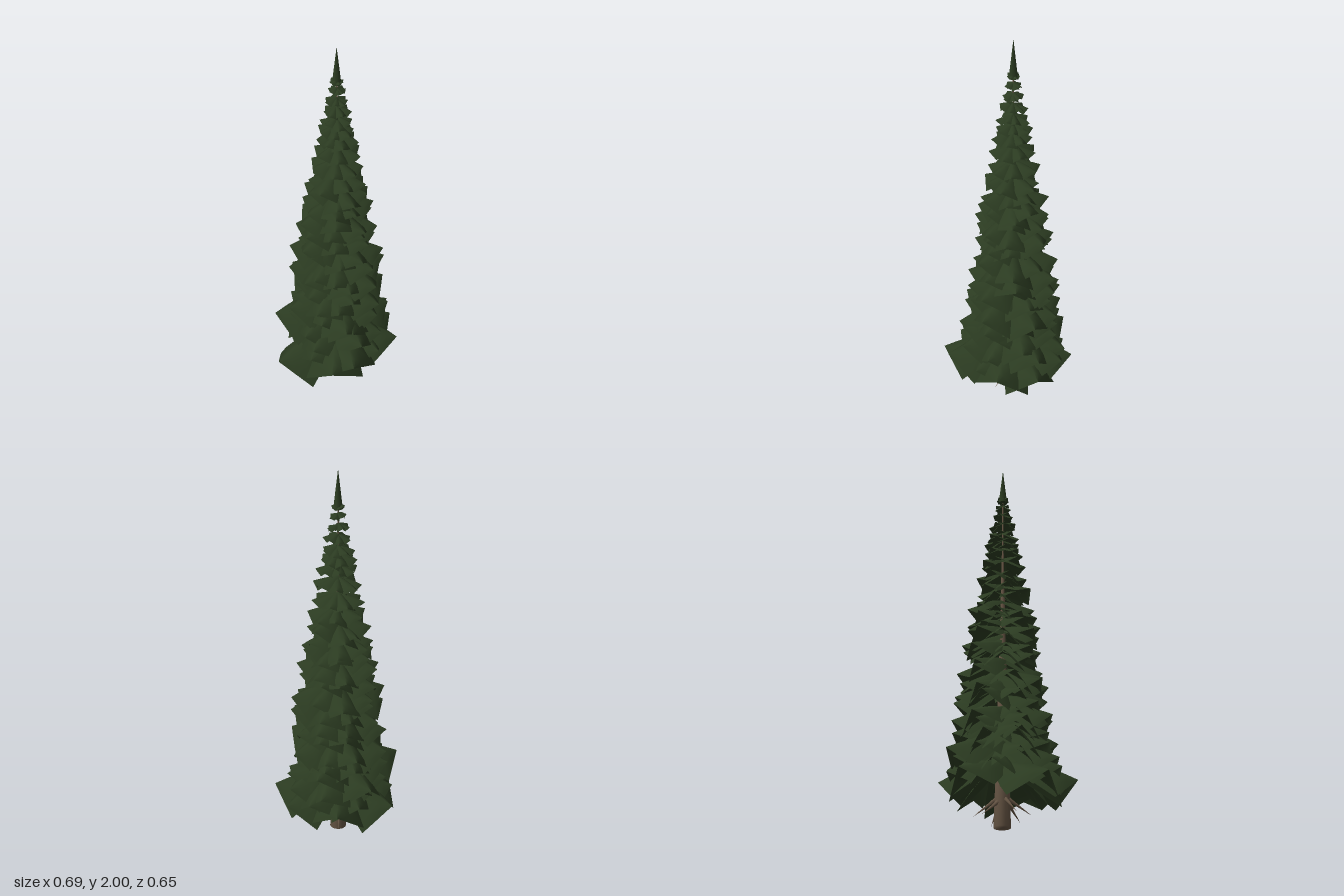
import * as THREE from 'three';
import { mergeGeometries } from 'three/addons/utils/BufferGeometryUtils.js';

// Tree axis sits slightly off the centre of the crown
const AXIS_X = 0.02, AXIS_Z = -0.033;

// Frond length by attachment height: [y, length]
const PROFILE = [[0.35, 0.305], [0.45, 0.29], [0.58, 0.265], [0.75, 0.245], [0.9, 0.23], [1.05, 0.208],
  [1.18, 0.18], [1.29, 0.155], [1.37, 0.135], [1.46, 0.12], [1.53, 0.103], [1.62, 0.083], [1.73, 0.058],
  [1.83, 0.035]];

// Lowest fronds: [tip dx, tip dz, attachment y, roll]
const SKIRT = [[-0.365, 0.083, 0.335, 0], [0.325, -0.017, 0.36, 0], [-0.04, 0.35, 0.4, 0.05],
  [0.275, 0.193, 0.38, -0.1], [-0.155, 0.333, 0.38, 0.1], [-0.155, -0.287, 0.35, 0.1],
  [0.17, -0.27, 0.37, -0.1], [0.04, -0.275, 0.37, 0.1], [0.275, -0.167, 0.42, 0.1],
  [-0.325, -0.067, 0.53, -0.1], [0.14, 0.258, 0.36, 0.1], [-0.23, 0.215, 0.39, 0.1],
  [-0.24, -0.155, 0.37, 0.1]];

function seeded(seed) {
  return () => (seed = (seed * 16807) % 2147483647) / 2147483647;
}

function lengthAt(y) {
  let i = 0;
  while (i < PROFILE.length - 2 && y > PROFILE[i + 1][0]) i++;
  const [y0, l0] = PROFILE[i], [y1, l1] = PROFILE[i + 1];
  return l0 + (l1 - l0) * (y - y0) / (y1 - y0);
}

// Unit kite-shaped sheet along +x: gently drooping ridge, sides folded well down
function frondShape() {
  const rows = [[0, 0.14], [0.2, 0.24], [0.45, 0.35], [0.7, 0.43], [0.85, 0.22], [1, 0.005]];
  const cols = 6, pos = [], idx = [];
  rows.forEach(([u, half], r) => {
    for (let c = 0; c <= cols; c++) {
      const v = (c / cols) * 2 - 1;
      pos.push(u, -0.3 * u ** 1.3 - 0.85 * half * Math.abs(v) ** 1.6, half * v);
      if (r < rows.length - 1 && c < cols) {
        const a = r * (cols + 1) + c, b = a + cols + 1;
        idx.push(a, a + 1, b, a + 1, b + 1, b);
      }
    }
  });
  const g = new THREE.BufferGeometry();
  g.setAttribute('position', new THREE.Float32BufferAttribute(pos, 3));
  g.setIndex(idx);
  g.computeVertexNormals();
  return g;
}

export function createModel() {
  const tree = new THREE.Group();
  tree.name = 'coniferTree';
  const needles = new THREE.MeshStandardMaterial({ color: 0x2b3b21, side: THREE.DoubleSide });
  needles.name = 'needleGreen';
  const bark = new THREE.MeshStandardMaterial({ color: 0x675645 });
  bark.name = 'barkBrown';
  const rand = seeded(4711);
  const spread = (amount) => (rand() * 2 - 1) * amount;
  const unitFrond = frondShape();

  const add = (name, geometry, material, y = 0) => {
    const mesh = new THREE.Mesh(geometry, material);
    mesh.name = name;
    mesh.position.set(AXIS_X, y, AXIS_Z);
    tree.add(mesh);
  };

  // Lower fronds hang more steeply; roll tilts a frond sideways about its midline
  const frond = (length, angle, y, roll) => {
    const hang = THREE.MathUtils.mapLinear(THREE.MathUtils.clamp(y, 0.5, 1.3), 0.5, 1.3, 1.3, 1);
    const shape = new THREE.Matrix4().set(
      length, 0, 0, 0,
      0, length * hang, -roll * length, y,
      0, 0, length, 0,
      0, 0, 0, 1);
    return unitFrond.clone().applyMatrix4(shape).rotateY(-angle);
  };

  // Trunk
  const trunkProfile = [[0, 0], [0.043, 0], [0.034, 0.25], [0.018, 0.9], [0.005, 1.5], [0.003, 1.85]];
  add('trunk', new THREE.LatheGeometry(trunkProfile.map(([r, y]) => new THREE.Vector2(r, y)), 12), bark);

  // Bare drooping branches near the ground
  const twigs = [];
  for (let i = 0; i < 6; i++) {
    const twig = new THREE.ConeGeometry(0.012, 0.15, 6).translate(0, 0.075, 0);
    twigs.push(twig.rotateZ(-2.25 + spread(0.1)).translate(0.02, 0.14 + spread(0.015), 0)
      .rotateY(i * Math.PI / 3 + spread(0.15)));
  }
  add('bareBranches', mergeGeometries(twigs), bark);

  // Widest fronds at the foot of the crown
  add('lowestFronds', mergeGeometries(SKIRT.map(([dx, dz, y, roll]) =>
    frond(Math.hypot(dx, dz), Math.atan2(dz, dx), y, roll))), needles);

  // Tiers of overlapping fronds up the trunk
  const tiers = [];
  for (let y = 0.44; y < 1.26; y += 0.066) tiers.push(y);
  tiers.push(1.3, 1.37, 1.455, 1.52, 1.57, 1.615, 1.675, 1.725, 1.78, 1.825);
  tiers.forEach((y, t) => {
    const count = y < 1.3 ? 8 : 7;
    const jitter = y < 1.3 ? 0.03 : 0.006;
    const fronds = [];
    for (let i = 0; i < count; i++) {
      const angle = t * 2.4 + (i + spread(0.25)) * Math.PI * 2 / count;
      fronds.push(frond(lengthAt(y) * (0.98 + spread(0.1)), angle, y + spread(jitter), spread(0.25)));
    }
    add('frondTier' + (t + 1), mergeGeometries(fronds), needles);
  });

  // Pointed leader at the top
  add('treeTop', new THREE.ConeGeometry(0.024, 0.2, 8), needles, 1.9);
  return tree;
}
